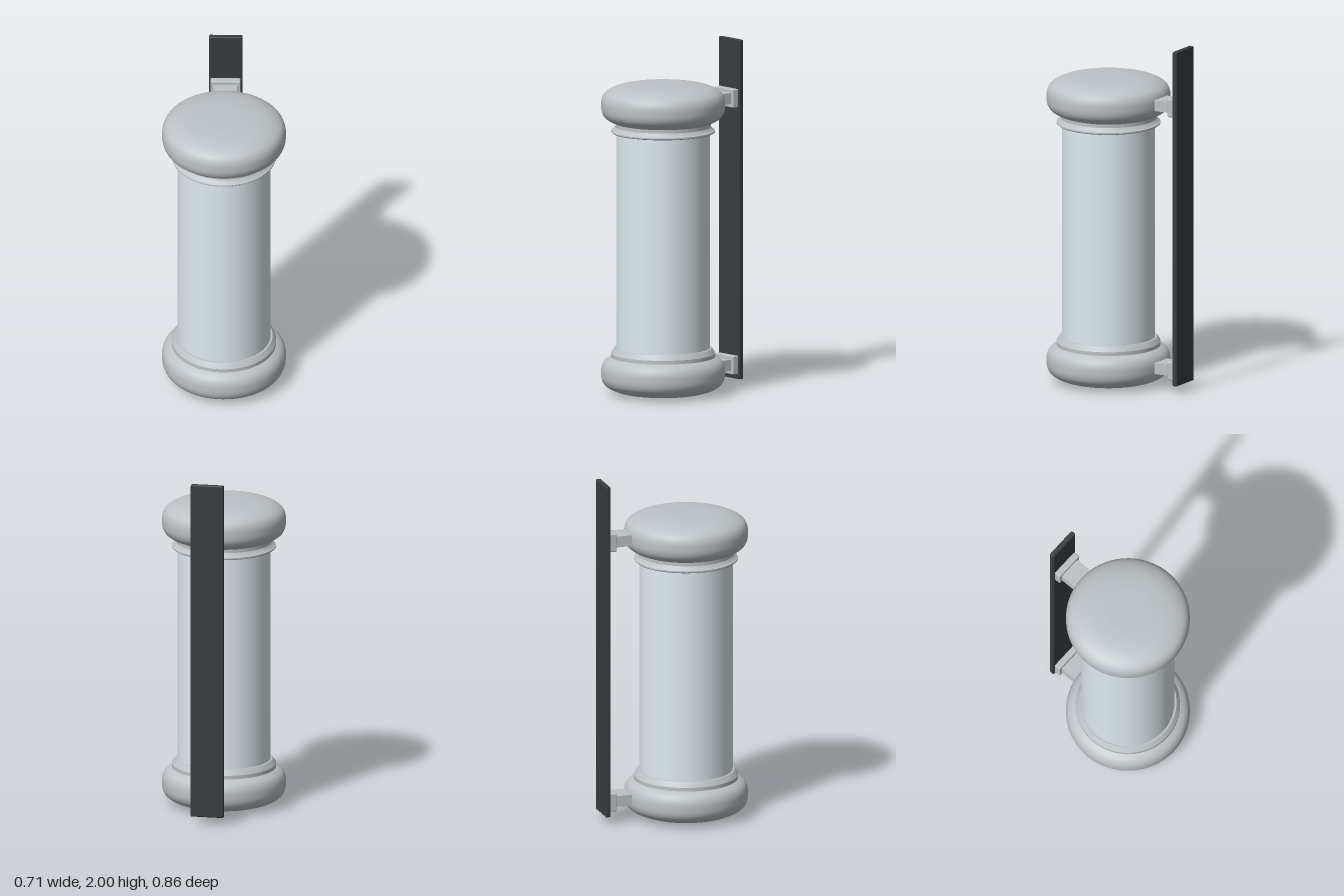
import * as THREE from 'three';
import { RoundedBoxGeometry } from 'three/addons/geometries/RoundedBoxGeometry.js';
import { toCreasedNormals } from 'three/addons/utils/BufferGeometryUtils.js';

const CZ = 0.077; // axis of the lamp body
const SEGMENTS = 64;

const metal = new THREE.MeshStandardMaterial({ color: 0xbcc2c6 });
const glass = new THREE.MeshStandardMaterial({ color: 0xdfeaef });
const dark = new THREE.MeshStandardMaterial({ color: 0x3a3c3e });

export function createModel() {
  const model = new THREE.Group();
  model.name = 'wallLamp';

  const add = (name, geometry, material, x, y, z) => {
    const mesh = new THREE.Mesh(geometry, material);
    mesh.name = name;
    mesh.position.set(x, y, z);
    model.add(mesh);
  };
  const lathe = (points) =>
    new THREE.LatheGeometry(points.map(([r, y]) => new THREE.Vector2(r, y)), SEGMENTS);

  // Glass cylinder between the two caps
  add('glassTube', new THREE.CylinderGeometry(0.266, 0.266, 1.4, SEGMENTS), glass, 0, 0.89, CZ);

  // Cushion-shaped cap: flat centre, curved rim
  const half = [[0.353, 0], [0.35, 0.035], [0.335, 0.066], [0.305, 0.088], [0.265, 0.104], [0.21, 0.115], [0.12, 0.122]];
  const rim = [...half.slice(1).reverse().map(([r, y]) => [r, -y]), ...half]
    .map(([r, y]) => new THREE.Vector3(r, y, 0));
  const curve = new THREE.CatmullRomCurve3(rim).getPoints(36).map((p) => [p.x, p.y]);
  const cap = lathe([[0, -0.122], ...curve, [0, 0.122]]);
  add('bottomCap', cap, metal, 0, 0.122, CZ);
  add('topCap', cap, metal, 0, 1.663, CZ);

  // Stepped collars where the glass meets the caps
  const bottomCollar = lathe([[0.25, -0.02], [0.297, -0.02], [0.297, 0.005], [0.281, 0.03], [0.277, 0.035], [0.25, 0.035]]);
  const topCollar = lathe([[0.25, 0], [0.29, 0], [0.296, 0.005], [0.296, 0.012], [0.281, 0.021], [0.272, 0.036], [0.272, 0.06], [0.25, 0.06]]);
  add('bottomCollar', toCreasedNormals(bottomCollar, 0.5), metal, 0, 0.23, CZ);
  add('topCollar', toCreasedNormals(topCollar, 0.5), metal, 0, 1.505, CZ);

  // Wall brackets: an arm from each cap with a mounting pad
  for (const [side, y] of [['bottom', 0.127], ['top', 1.664]]) {
    add(side + 'BracketArm', new THREE.BoxGeometry(0.134, 0.064, 0.19), metal, 0, y, -0.28);
    add(side + 'BracketPad', new RoundedBoxGeometry(0.17, 0.106, 0.042, 2, 0.006), metal, 0, y, -0.386);
  }

  // Tall back plate
  add('backPlate', new RoundedBoxGeometry(0.19, 1.955, 0.03, 3, 0.007), dark, 0, 1.0225, -0.418);

  return model;
}
